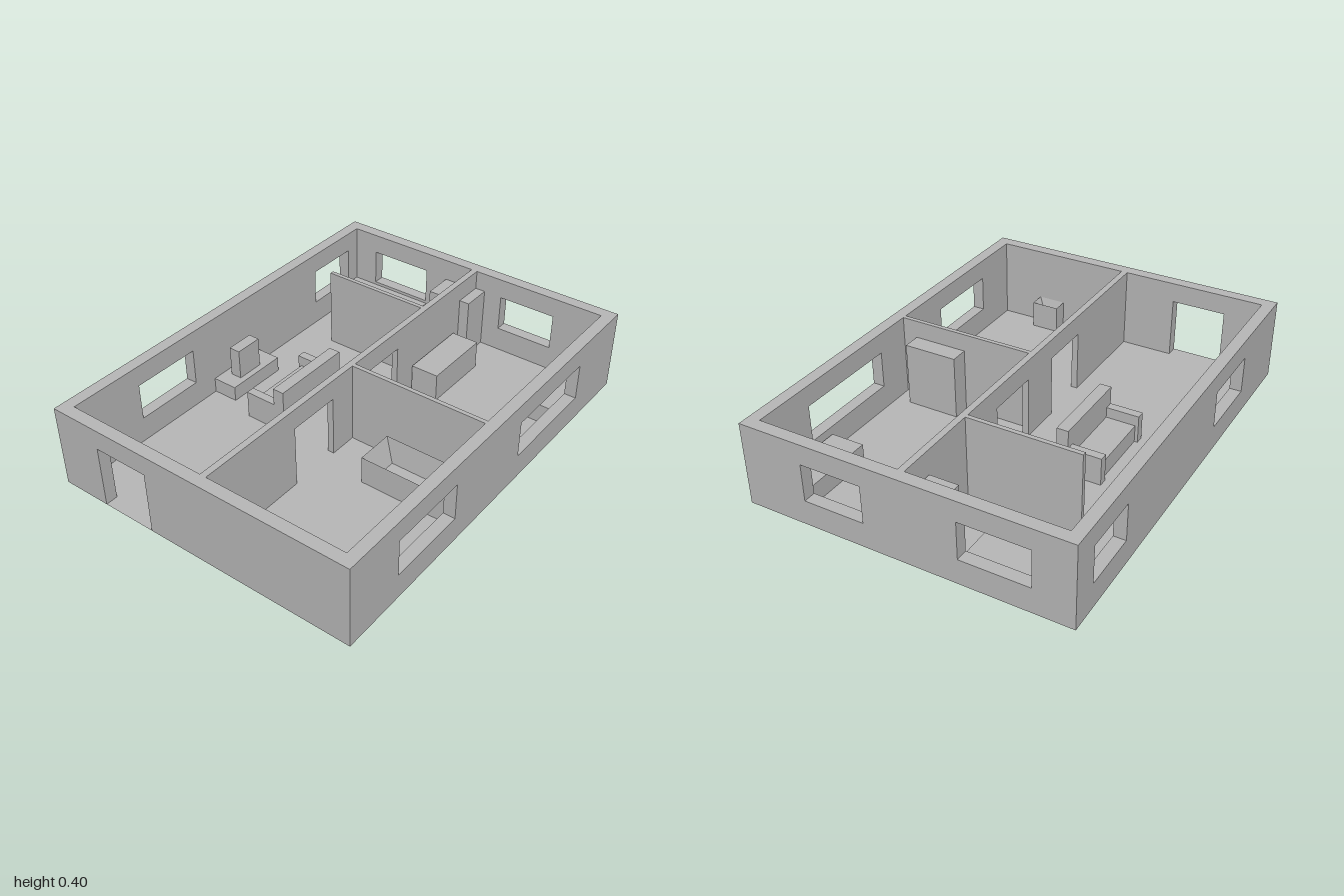
import * as THREE from 'three';

const FLOOR = 0.018, TOP = 0.403, SILL = 0.135, HEAD = 0.308;

export function createModel() {
  const model = new THREE.Group();
  model.name = 'apartment';
  const grey = new THREE.MeshStandardMaterial({ color: 0xb8b8b8, side: THREE.DoubleSide });
  grey.name = 'plain grey';

  function add(name, geometry, parent = model) {
    const mesh = new THREE.Mesh(geometry, grey);
    mesh.name = name;
    parent.add(mesh);
    return mesh;
  }

  function box(name, x0, x1, z0, z1, y0, y1, parent) {
    const mesh = add(name, new THREE.BoxGeometry(x1 - x0, y1 - y0, z1 - z0), parent);
    mesh.position.set((x0 + x1) / 2, (y0 + y1) / 2, (z0 + z1) / 2);
  }

  // Hollow wall, open underneath. Runs from a0 to a1 along an axis, t0 to t1 across it.
  // doors: [from, to]; windows: [from, to]
  function wall(name, axis, a0, a1, t0, t1, doors = [], windows = []) {
    const shape = new THREE.Shape();
    shape.moveTo(a0, FLOOR);
    for (const [d0, d1] of doors) {
      shape.lineTo(d0, FLOOR);
      shape.lineTo(d0, HEAD);
      shape.lineTo(d1, HEAD);
      shape.lineTo(d1, FLOOR);
    }
    shape.lineTo(a1, FLOOR);
    shape.lineTo(a1, TOP);
    shape.lineTo(a0, TOP);
    shape.closePath();
    for (const [w0, w1] of windows) {
      const hole = new THREE.Path();
      hole.moveTo(w0, SILL);
      hole.lineTo(w0, HEAD);
      hole.lineTo(w1, HEAD);
      hole.lineTo(w1, SILL);
      hole.closePath();
      shape.holes.push(hole);
    }
    const solid = new THREE.ExtrudeGeometry(shape, { depth: t1 - t0, bevelEnabled: false });
    // leave out the underside
    const p = solid.attributes.position, kept = [];
    for (let i = 0; i < p.count; i += 3) {
      if (Math.max(p.getY(i), p.getY(i + 1), p.getY(i + 2)) < FLOOR + 0.001) continue;
      for (let k = i; k < i + 3; k++) kept.push(p.getX(k), p.getY(k), p.getZ(k));
    }
    const g = new THREE.BufferGeometry();
    g.setAttribute('position', new THREE.Float32BufferAttribute(kept, 3));
    if (axis === 'x') g.translate(0, 0, t0);
    else g.translate(0, 0, -t1).rotateY(-Math.PI / 2);
    g.computeVertexNormals();
    add(name, g);
  }

  // Open vessel with sloping inner sides, from rectangular rings [x0, x1, z0, z1, y]
  function vessel(name, rings) {
    const points = [], index = [0, 2, 1, 0, 3, 2];
    for (const [x0, x1, z0, z1, y] of rings)
      points.push(x0, y, z0, x0, y, z1, x1, y, z1, x1, y, z0);
    for (let r = 0; r < rings.length - 1; r++)
      for (let i = 0; i < 4; i++) {
        const a = r * 4 + i, b = r * 4 + (i + 1) % 4;
        index.push(a, b, b + 4, a, b + 4, a + 4);
      }
    const e = (rings.length - 1) * 4;
    index.push(e, e + 1, e + 2, e, e + 2, e + 3);
    let g = new THREE.BufferGeometry();
    g.setAttribute('position', new THREE.Float32BufferAttribute(points, 3));
    g.setIndex(index);
    g = g.toNonIndexed();
    g.computeVertexNormals();
    add(name, g);
  }

  // Outer walls
  wall('frontWall', 'x', -1, 1, 0.684, 0.74, [], [[-0.705, -0.325], [0.155, 0.66]]);
  wall('backWall', 'x', -1, 1, -0.743, -0.687, [], [[-0.6, -0.27], [0.6, 0.87]]);
  wall('leftWall', 'z', -0.687, 0.684, 0.943, 1, [], [[-0.565, -0.255], [0.17, 0.45]]);
  wall('rightWall', 'z', -0.687, 0.684, -1, -0.943, [[-0.51, -0.25]]);

  // Inner walls
  wall('middleWall', 'x', -0.943, 0.943, 0, 0.03, [[-0.43, -0.18], [0.03, 0.29]]);
  wall('bedroomPartition', 'z', 0.03, 0.684, -0.045, -0.025);
  wall('kitchenPartition', 'z', -0.52, 0, 0.51, 0.53);

  // Floors: rooms and doorways
  const floors = new THREE.Group();
  floors.name = 'floors';
  model.add(floors);
  for (const [name, x0, x1, z0, z1] of [
    ['livingFloor', -0.943, 0.51, -0.687, 0],
    ['passageFloor', 0.51, 0.53, -0.687, -0.52],
    ['kitchenFloor', 0.53, 0.943, -0.687, 0],
    ['bathroomFloor', -0.943, -0.045, 0.03, 0.684],
    ['bedroomFloor', -0.025, 0.943, 0.03, 0.684],
    ['bathroomDoorway', -0.43, -0.18, 0, 0.03],
    ['bedroomDoorway', 0.03, 0.29, 0, 0.03],
    ['entranceDoorway', -1, -0.943, -0.51, -0.25],
  ]) {
    const mesh = add(name, new THREE.PlaneGeometry(x1 - x0, z1 - z0).rotateX(-Math.PI / 2), floors);
    mesh.position.set((x0 + x1) / 2, FLOOR, (z0 + z1) / 2);
  }

  // Sofa, with its back to the middle wall
  const sofa = new THREE.Group();
  sofa.name = 'sofa';
  model.add(sofa);
  box('sofaBack', -0.2, 0.2, -0.285, -0.23, 0.012, 0.235, sofa);
  box('sofaSeat', -0.16, 0.16, -0.425, -0.285, 0.012, 0.1, sofa);
  for (const s of [-1, 1])
    box('sofaArm', s * 0.18 - 0.02, s * 0.18 + 0.02, -0.44, -0.285, 0.012, 0.15, sofa);

  // Living room and kitchen
  box('televisionStand', -0.15, 0.155, -0.687, -0.565, 0, 0.09);
  box('television', -0.075, 0.06, -0.65, -0.595, 0.09, 0.235);
  box('kitchenCounter', 0.8, 0.943, -0.687, -0.25, FLOOR, 0.12);
  box('refrigerator', 0.8, 0.943, -0.14, -0.008, FLOOR, 0.3);

  // Bedroom
  box('wardrobe', -0.025, 0.06, 0.36, 0.615, FLOOR, 0.32);
  box('desk', 0.405, 0.75, 0.035, 0.17, FLOOR, 0.155);
  box('bookcase', 0.8, 0.943, 0.03, 0.08, FLOOR, 0.31);
  box('bed', 0.55, 0.943, 0.51, 0.67, FLOOR, 0.11);

  // Bathroom
  vessel('bathtub', [
    [-0.26, -0.08, 0.24, 0.682, 0.012], [-0.26, -0.08, 0.24, 0.682, 0.15],
    [-0.24, -0.095, 0.28, 0.64, 0.03]]);
  vessel('washbasin', [
    [-0.943, -0.868, 0.348, 0.482, FLOOR], [-0.943, -0.868, 0.348, 0.482, 0.15],
    [-0.932, -0.878, 0.365, 0.462, 0.11]]);

  return model;
}
